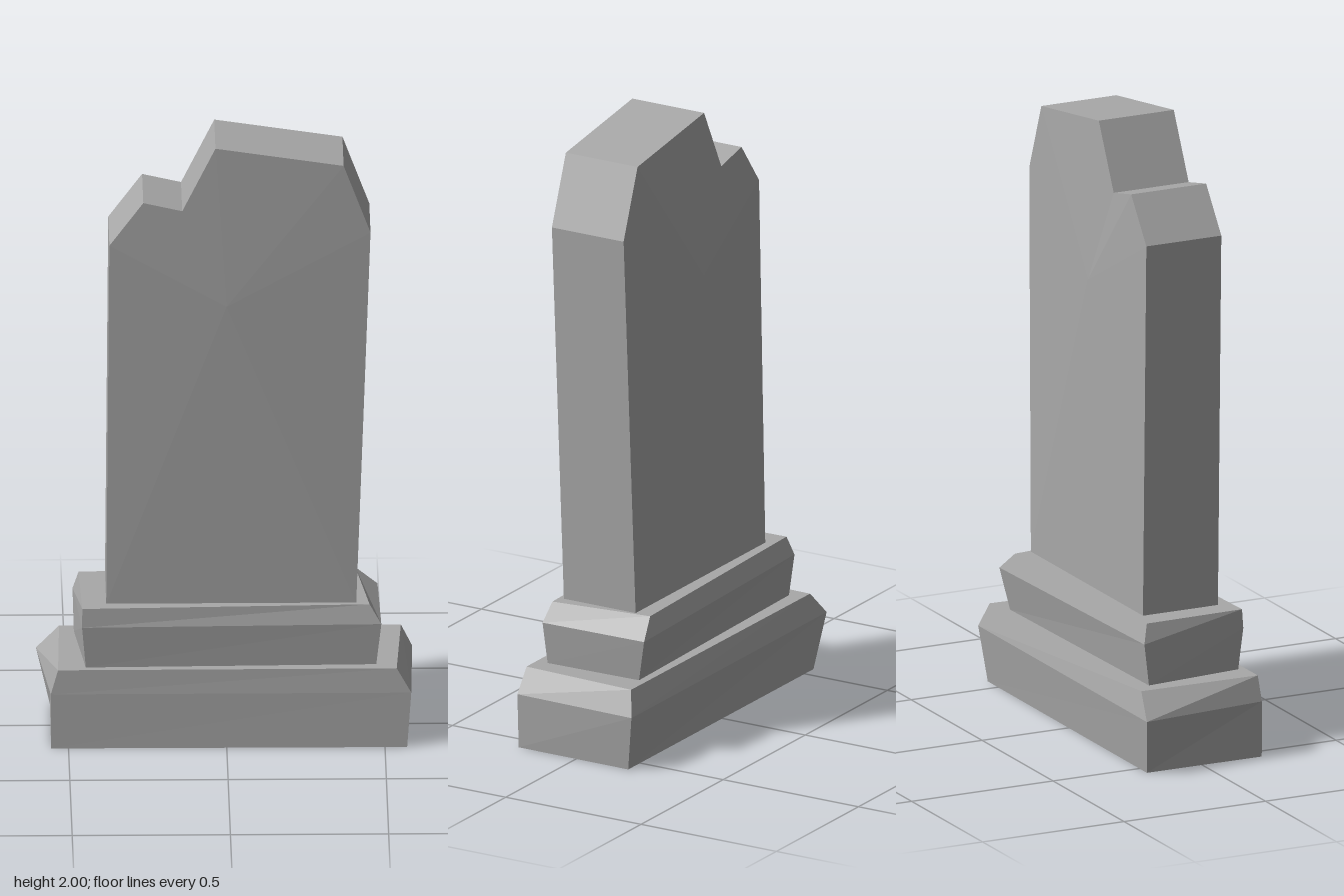
import * as THREE from 'three';

const stone = new THREE.MeshStandardMaterial({ color: 0xa8a8a8, side: THREE.DoubleSide, flatShading: true });
stone.name = 'grey stone';

// Joins equal-length rings of points with quads; each given apex closes that end with a fan.
function loft(name, rings, endApex, startApex) {
  const pos = [];
  const tri = (a, b, c) => pos.push(...a, ...b, ...c);
  const n = rings[0].length;
  const first = rings[0], last = rings[rings.length - 1];
  for (let i = 0; i < n; i++) {
    const j = (i + 1) % n;
    for (let r = 0; r + 1 < rings.length; r++) {
      const lo = rings[r], hi = rings[r + 1];
      tri(lo[i], lo[j], hi[j]);
      tri(lo[i], hi[j], hi[i]);
    }
    if (endApex) tri(last[i], last[j], endApex);
    if (startApex) tri(first[j], first[i], startApex);
  }
  const geo = new THREE.BufferGeometry();
  geo.setAttribute('position', new THREE.Float32BufferAttribute(pos, 3));
  geo.computeVertexNormals();
  const mesh = new THREE.Mesh(geo, stone);
  mesh.name = name;
  return mesh;
}

// Horizontal ring: corners run front -x, front +x, back +x, back -x.
const level = (y, corners) => corners.map(([x, z]) => [x, y, z]);

export function createModel() {
  const group = new THREE.Group();
  group.name = 'gravestone';

  // Lower plinth, hollow and open underneath
  group.add(loft('lowerPlinth', [
    level(0, [[-0.555, 0.21], [0.57, 0.213], [0.572, -0.193], [-0.553, -0.195]]),
    level(0.182, [[-0.556, 0.21], [0.583, 0.21], [0.592, -0.217], [-0.597, -0.217]]),
    level(0.262, [[-0.533, 0.207], [0.537, 0.204], [0.556, -0.194], [-0.524, -0.2]]),
  ], [0, 0.262, 0]));

  // Upper plinth, skewed with a chamfered rim
  group.add(loft('upperPlinth', [
    level(0.262, [[-0.445, 0.182], [0.473, 0.165], [0.465, -0.168], [-0.478, -0.15]]),
    level(0.4, [[-0.457, 0.194], [0.489, 0.174], [0.482, -0.197], [-0.482, -0.168]]),
    level(0.462, [[-0.456, 0.19], [0.452, 0.16], [0.412, -0.177], [-0.463, -0.15]]),
  ], [0, 0.462, 0]));

  // Upright slab with a broken top corner and slightly bulging faces
  const outline = [
    [-0.38, 0.46], [0.41, 0.46], [0.455, 1.715], [0.37, 1.94],
    [-0.035, 2], [-0.14, 1.79], [-0.263, 1.818], [-0.37, 1.675],
  ];
  const face = (zBottom, zTop) => outline.map(([x, y]) => [x, y, y < 1 ? zBottom : zTop]);
  group.add(loft('slab', [face(-0.122, -0.105), face(0.143, 0.16)],
    [0, 1.47, 0.168], [0, 1.47, -0.126]));

  return group;
}
